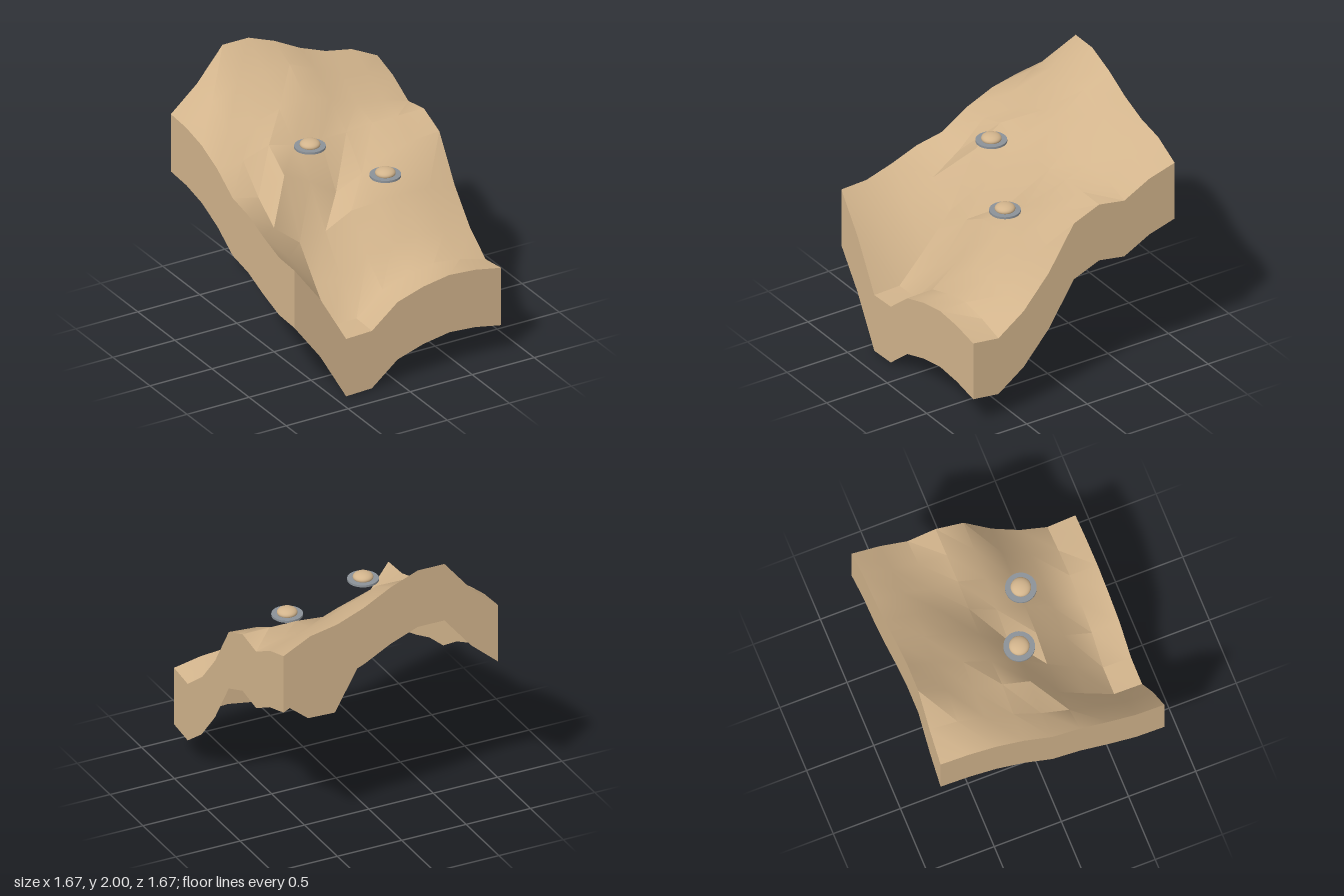
import * as THREE from 'three';
import { toCreasedNormals } from 'three/addons/utils/BufferGeometryUtils.js';

const HALF = 0.833, CELLS = 8, WALL = 0.447;

// Terrain heights: rows run back to front, columns run -x to +x
const HEIGHTS = [
  [1.57, 1.75, 2.00, 2.00, 1.92, 1.81, 1.73, 1.69, 1.585],
  [1.555, 1.70, 1.80, 1.825, 1.83, 1.74, 1.65, 1.60, 1.525],
  [1.51, 1.56, 1.57, 1.63, 1.665, 1.60, 1.51, 1.475, 1.415],
  [1.42, 1.43, 1.495, 1.44, 1.43, 1.43, 1.45, 1.45, 1.45],
  [1.285, 1.235, 1.35, 1.25, 1.11, 1.20, 1.30, 1.35, 1.365],
  [1.245, 1.09, 0.92, 0.955, 1.06, 1.07, 1.08, 1.07, 1.035],
  [1.165, 0.95, 0.68, 0.68, 0.79, 0.83, 0.85, 0.83, 0.795],
  [1.10, 0.83, 0.455, 0.46, 0.63, 0.695, 0.73, 0.70, 0.645],
  [1.09, 0.81, 0.447, 0.455, 0.625, 0.69, 0.725, 0.71, 0.67],
];

const at = (i) => -HALF + (2 * HALF * i) / CELLS;
const point = (row, col) => new THREE.Vector3(at(col), HEIGHTS[row][col], at(row));

function terrainGeometry() {
  const geo = new THREE.PlaneGeometry(2 * HALF, 2 * HALF, CELLS, CELLS).rotateX(-Math.PI / 2);
  const pos = geo.attributes.position;
  HEIGHTS.flat().forEach((h, i) => pos.setY(i, h));
  geo.computeVertexNormals();
  return toCreasedNormals(geo, 0.6);
}

// Vertical wall hanging from one edge of the terrain
function wallGeometry(edge) {
  const verts = [];
  for (let i = 0; i < CELLS; i++) {
    const a = edge[i], b = edge[i + 1];
    verts.push(
      a.x, a.y - WALL, a.z, b.x, b.y - WALL, b.z, b.x, b.y, b.z,
      a.x, a.y - WALL, a.z, b.x, b.y, b.z, a.x, a.y, a.z,
    );
  }
  const geo = new THREE.BufferGeometry();
  geo.setAttribute('position', new THREE.Float32BufferAttribute(verts, 3));
  geo.computeVertexNormals();
  return geo;
}

export function createModel() {
  const sand = new THREE.MeshStandardMaterial({ color: 0xd2b48c, side: THREE.DoubleSide });
  sand.name = 'sand';
  const grey = new THREE.MeshStandardMaterial({ color: 0x8c9298 });
  grey.name = 'grey metal';

  const model = new THREE.Group();
  const add = (parent, name, geo, mat) => {
    const mesh = new THREE.Mesh(geo, mat);
    mesh.name = name;
    parent.add(mesh);
    return mesh;
  };

  // Hillside
  add(model, 'terrain', terrainGeometry(), sand);

  // Four walls, open underneath
  const steps = Array.from({ length: CELLS + 1 }, (_, i) => i);
  const edges = {
    frontWall: steps.map((i) => point(CELLS, i)),
    leftWall: steps.map((i) => point(CELLS - i, CELLS)),
    backWall: steps.map((i) => point(0, CELLS - i)),
    rightWall: steps.map((i) => point(i, 0)),
  };
  for (const [name, edge] of Object.entries(edges)) add(model, name, wallGeometry(edge), sand);

  // Hovering saucers: a flat disc with a squashed dome
  for (const [x, y, z] of [[-0.21, 1.523, 0], [0.275, 1.264, 0.205]]) {
    const saucer = new THREE.Group();
    saucer.name = 'saucer';
    saucer.position.set(x, y, z);
    add(saucer, 'disc', new THREE.CylinderGeometry(0.11, 0.11, 0.016, 40), grey);
    const dome = add(saucer, 'dome', new THREE.SphereGeometry(0.072, 32, 20), sand);
    dome.scale.y = 0.5;
    dome.position.y = 0.018;
    model.add(saucer);
  }
  return model;
}
